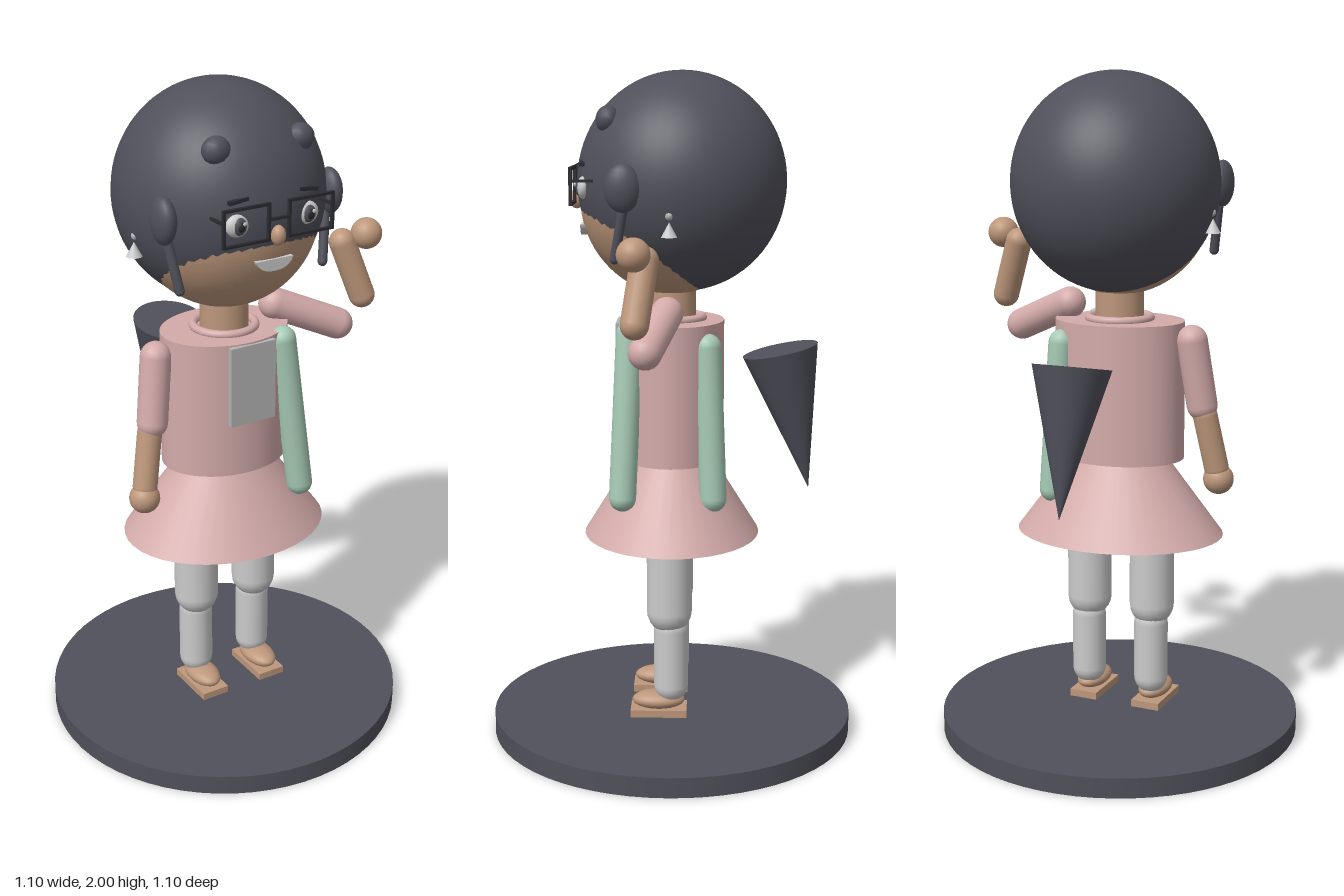
import * as THREE from 'three';

const mat = (name, color) => {
  const m = new THREE.MeshStandardMaterial({ color });
  m.name = name;
  return m;
};

export function createModel() {
  const model = new THREE.Group();
  model.name = 'figurine';

  const dark = mat('charcoal', 0x50505b);
  const black = mat('black', 0x2b2b31);
  const skin = mat('skin', 0xbd977b);
  const pink = mat('dusty pink', 0xd3abaa);
  const green = mat('sage green', 0xa6c9b4);
  const white = mat('off white', 0xcbcbcb);
  const grey = mat('light grey', 0xb5b5b5);

  const add = (name, geometry, material, pos = [0, 0, 0], scale = [1, 1, 1], parent = model) => {
    const mesh = new THREE.Mesh(geometry, material);
    mesh.name = name;
    mesh.position.set(...pos);
    mesh.scale.set(...scale);
    parent.add(mesh);
    return mesh;
  };
  const box = (name, size, material, pos) => add(name, new THREE.BoxGeometry(...size), material, pos);
  const ball = (name, radii, material, pos, seg = 24) =>
    add(name, new THREE.SphereGeometry(1, seg, Math.round(seg * 0.7)), material, pos, radii);
  // Capsule whose round ends are centred on points a and b
  const limb = (name, a, b, radius, material) => {
    const from = new THREE.Vector3(...a), to = new THREE.Vector3(...b);
    const dir = to.clone().sub(from);
    const mid = from.clone().add(to).multiplyScalar(0.5);
    const mesh = add(name, new THREE.CapsuleGeometry(radius, dir.length(), 6, 20), material, mid.toArray());
    mesh.quaternion.setFromUnitVectors(new THREE.Vector3(0, 1, 0), dir.normalize());
    return mesh;
  };

  // Display base
  add('base', new THREE.CylinderGeometry(0.55, 0.55, 0.06, 64), dark, [0, 0.03, 0]);

  // Legs, feet and sandals
  for (const s of [-1, 1]) {
    const x = s * 0.105;
    box('sandalSole', [0.09, 0.022, 0.17], skin, [x, 0.084, 0.037]);
    ball('foot', [0.047, 0.028, 0.08], skin, [x, 0.117, 0.038]);
    limb('lowerLeg', [x, 0.165, 0], [x, 0.34, 0], 0.052, white);
    limb('upperLeg', [x, 0.4, 0.005], [x, 0.68, 0.005], 0.068, white);
  }

  // Dress
  add('skirt', new THREE.CylinderGeometry(0.14, 0.322, 0.24, 40), pink, [0, 0.745, 0], [1, 1, 0.82]);
  add('torso', new THREE.CylinderGeometry(0.2, 0.2, 0.415, 40), pink, [0, 1.067, 0], [1, 1, 0.78]);
  const collar = add('collar', new THREE.TorusGeometry(0.092, 0.013, 10, 36), pink, [0, 1.28, 0]);
  collar.rotation.x = Math.PI / 2;
  box('bib', [0.152, 0.245, 0.016], grey, [0, 1.147, 0.156]);
  add('neck', new THREE.CylinderGeometry(0.072, 0.072, 0.16, 28), skin, [0, 1.32, 0]);

  // Scarf tails, front and back
  limb('scarfFront', [0.128, 1.245, 0.12], [0.184, 0.77, 0.14], 0.04, green);
  limb('scarfBack', [0.14, 1.21, -0.108], [0.165, 0.765, -0.125], 0.04, green);

  // Raised left arm
  limb('leftUpperArm', [0.17, 1.313, 0.01], [0.362, 1.228, 0.065], 0.048, pink);
  limb('leftForearm', [0.432, 1.315, 0.09], [0.372, 1.485, 0.065], 0.04, skin);
  ball('leftHand', [0.047, 0.047, 0.047], skin, [0.44, 1.507, 0.092]);

  // Lowered right arm
  limb('rightUpperArm', [-0.232, 1.225, 0], [-0.258, 1.03, 0.02], 0.046, pink);
  limb('rightForearm', [-0.268, 1.0, 0.02], [-0.298, 0.84, 0.04], 0.037, skin);
  ball('rightHand', [0.046, 0.046, 0.046], skin, [-0.303, 0.805, 0.045]);

  // Cone carried behind the back, tip down
  const cone = add('backCone', new THREE.ConeGeometry(0.114, 0.433, 36), dark, [0, 0.971, -0.369]);
  cone.rotation.x = Math.PI + 0.21;

  // Head and hair cap; the chin shows beneath the hair
  ball('head', [0.279, 0.29, 0.27], skin, [0, 1.64, 0], 48);
  ball('hair', [0.307, 0.32, 0.307], dark, [0, 1.68, -0.03], 56);
  ball('nose', [0.021, 0.029, 0.022], skin, [0, 1.63, 0.28], 16);

  // Mouth: half ellipse with a flat top
  const lips = new THREE.Shape();
  lips.moveTo(-0.06, 0.012);
  lips.lineTo(0.06, 0.012);
  lips.quadraticCurveTo(0.05, -0.022, 0, -0.022);
  lips.quadraticCurveTo(-0.05, -0.022, -0.06, 0.012);
  add('mouth', new THREE.ExtrudeGeometry(lips, { depth: 0.03, bevelEnabled: false }), white, [0, 1.546, 0.236]);

  for (const s of [-1, 1]) {
    // Hair tufts, side locks and strands
    ball('fringeTuft', [0.042, 0.04, 0.035], dark, [s * 0.135, 1.86, 0.178], 14);
    ball('sideLock', [0.032, 0.068, 0.052], dark, [s * 0.272, 1.675, 0.13], 18);
    limb('sideStrand', [s * 0.265, 1.64, 0.125], [s * 0.238, 1.475, 0.155], 0.014, dark);

    // Eyes
    const ex = s * 0.112;
    ball('eyeWhite', [0.037, 0.033, 0.02], white, [ex, 1.668, 0.25], 20);
    ball('iris', [0.021, 0.025, 0.012], dark, [ex, 1.668, 0.262], 16);
    ball('pupil', [0.012, 0.015, 0.008], black, [ex, 1.668, 0.269], 12);
    ball('eyeGlint', [0.006, 0.006, 0.004], white, [ex + 0.008, 1.677, 0.275], 8);
    const brow = box('eyebrow', [0.06, 0.01, 0.015], black, [ex, 1.737, 0.253]);
    brow.rotation.z = -s * 0.12;

    // Spectacle frame and temple
    for (const y of [1.624, 1.724]) box('frameBar', [0.146, 0.008, 0.01], black, [s * 0.104, y, 0.283]);
    for (const x of [0.033, 0.175]) box('framePost', [0.008, 0.108, 0.01], black, [s * x, 1.674, 0.283]);
    box('temple', [0.008, 0.008, 0.12], black, [s * 0.176, 1.69, 0.228]);

    // Earrings
    ball('earringStud', [0.013, 0.013, 0.013], grey, [s * 0.288, 1.6, 0], 12);
    add('earringDrop', new THREE.ConeGeometry(0.023, 0.042, 16), white, [s * 0.293, 1.562, 0]);
  }
  box('spectacleBridge', [0.066, 0.008, 0.01], black, [0, 1.68, 0.283]);

  return model;
}
